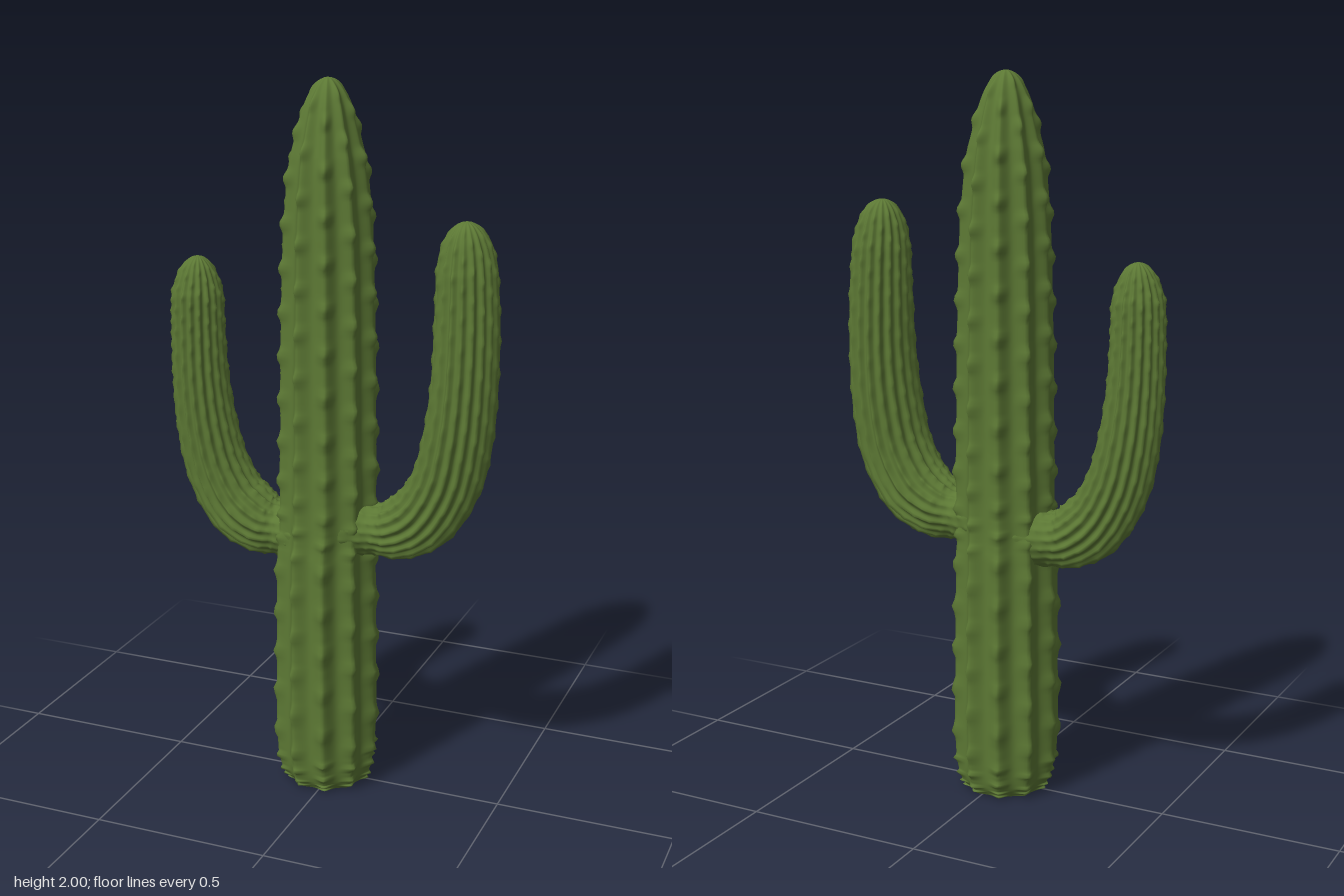
import * as THREE from 'three';

const cactusGreen = new THREE.MeshStandardMaterial({ color: 0x5c7834 });
cactusGreen.name = 'cactusGreen';

// Ribbed stem swept along stations [x, y, z, radius in plane, radius across, rib strength 0..1]
function ribbedStem(name, stations, { ribs, perRib, rows, depth, cap, knob, pitch }) {
  const path = new THREE.CatmullRomCurve3(stations.map(s => new THREE.Vector3(s[0], s[1], s[2])));
  const sizes = new THREE.CatmullRomCurve3(stations.map(s => new THREE.Vector3(s[3], s[4], s[5])));
  const topY = stations[stations.length - 1][1];
  const sides = ribs * perRib;
  const zAxis = new THREE.Vector3(0, 0, 1);
  const pos = [], index = [];
  for (let i = 0; i <= rows; i++) {
    // Rows crowd together toward the rounded tip
    const t = Math.sin((i / rows) * Math.PI / 2);
    const c = path.getPoint(t), size = sizes.getPoint(t);
    const T = path.getTangent(t);
    const N = new THREE.Vector3().crossVectors(zAxis, T).normalize();
    const B = new THREE.Vector3().crossVectors(T, N);
    const left = Math.max(0, topY - c.y) / cap;
    const round = left < 1 ? Math.sqrt(Math.max(0, 1 - (1 - left) ** 2)) : 1;
    for (let j = 0; j < sides; j++) {
      const a = (j / sides) * Math.PI * 2;
      const ridge = 1 - Math.sqrt(Math.sin(a * ribs / 2) ** 2 * 0.98 + 0.02);
      const rib = Math.round(j / perRib) % ribs;
      // Little areole knobs along each ridge
      const wave = Math.max(0, Math.sin(t * Math.PI * 2 / pitch + rib * 2.4)) ** 2;
      const bump = knob * wave * ridge * round;
      const k = round * (1 - depth * size.z * (1 - ridge));
      const p = c.clone()
        .addScaledVector(N, Math.cos(a) * (size.x * k + bump))
        .addScaledVector(B, Math.sin(a) * (size.y * k + bump));
      pos.push(p.x, p.y, p.z);
      if (i < rows) {
        const n = (j + 1) % sides, r0 = i * sides, r1 = r0 + sides;
        index.push(r0 + j, r0 + n, r1 + n, r0 + j, r1 + n, r1 + j);
      }
    }
  }
  const geo = new THREE.BufferGeometry();
  geo.setAttribute('position', new THREE.Float32BufferAttribute(pos, 3));
  geo.setIndex(index);
  geo.computeVertexNormals();
  const mesh = new THREE.Mesh(geo, cactusGreen);
  mesh.name = name;
  return mesh;
}

export function createModel() {
  const group = new THREE.Group();
  group.name = 'cactus';

  // Trunk, slightly waisted above the arms
  group.add(ribbedStem('trunk', [
    [-0.018, 0, 0, 0.115, 0.118, 0.5],
    [-0.018, 0.025, 0, 0.13, 0.135, 0.6],
    [-0.02, 0.1, 0, 0.147, 0.153, 0.9],
    [-0.02, 0.3, 0, 0.148, 0.158, 1],
    [-0.02, 0.5, 0, 0.146, 0.157, 1],
    [-0.02, 0.7, 0, 0.143, 0.153, 1],
    [-0.016, 0.82, 0, 0.14, 0.14, 0.8],
    [-0.015, 1.0, 0, 0.139, 0.14, 1],
    [-0.015, 1.2, 0, 0.137, 0.139, 1],
    [-0.015, 1.4, 0, 0.133, 0.134, 1],
    [-0.015, 1.6, 0, 0.126, 0.128, 1],
    [-0.016, 1.8, 0, 0.108, 0.114, 1],
    [-0.016, 2.0, 0, 0.098, 0.102, 0.8],
  ], { ribs: 10, perRib: 12, rows: 190, depth: 0.17, cap: 0.28, knob: 0.013, pitch: 0.05 }));

  // Flat underside
  const base = new THREE.Mesh(new THREE.CircleGeometry(0.113, 40).rotateX(Math.PI / 2), cactusGreen);
  base.name = 'trunkBase';
  base.position.set(-0.018, 0.001, 0);
  group.add(base);

  const arm = { ribs: 18, perRib: 6, rows: 110, depth: 0.14, cap: 0.12, knob: 0.005, pitch: 0.06 };

  // Taller arm on the left side
  group.add(ribbedStem('leftArm', [
    [0.05, 0.78, 0, 0.09, 0.1, 0],
    [0.12, 0.778, 0, 0.073, 0.08, 0.2],
    [0.185, 0.787, 0, 0.086, 0.103, 0.8],
    [0.265, 0.835, 0.002, 0.097, 0.12, 1],
    [0.33, 0.94, 0.003, 0.097, 0.121, 1],
    [0.36, 1.07, 0.003, 0.094, 0.12, 1],
    [0.374, 1.22, 0.002, 0.089, 0.112, 1],
    [0.376, 1.38, 0, 0.087, 0.1, 1],
    [0.373, 1.52, 0, 0.082, 0.088, 1],
    [0.368, 1.65, 0, 0.075, 0.078, 0.7],
  ], arm));

  // Shorter arm on the right side, drifting forward
  group.add(ribbedStem('rightArm', [
    [-0.08, 0.745, 0, 0.09, 0.1, 0],
    [-0.155, 0.742, 0, 0.077, 0.083, 0.2],
    [-0.215, 0.753, 0.006, 0.088, 0.1, 0.8],
    [-0.29, 0.808, 0.012, 0.093, 0.104, 1],
    [-0.345, 0.905, 0.016, 0.089, 0.1, 1],
    [-0.375, 1.03, 0.02, 0.084, 0.095, 1],
    [-0.389, 1.17, 0.025, 0.078, 0.087, 1],
    [-0.392, 1.3, 0.028, 0.075, 0.08, 1],
    [-0.391, 1.41, 0.03, 0.073, 0.075, 1],
    [-0.388, 1.51, 0.03, 0.067, 0.068, 0.7],
  ], arm));

  return group;
}
